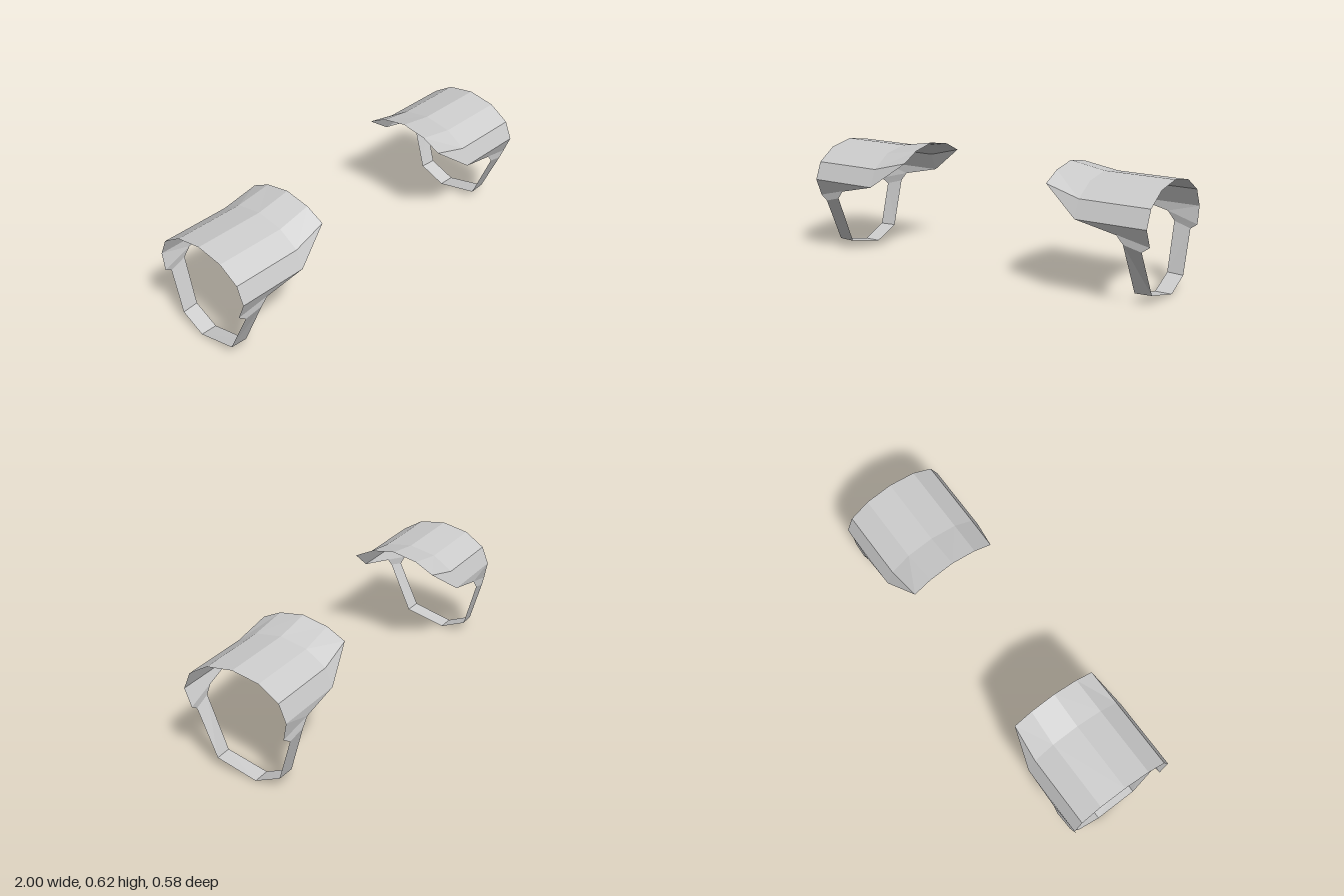
import * as THREE from 'three';

// Faceted sheet between two matching rows of [x, y, z] points; side = -1 mirrors it in x.
function sheet(name, rowA, rowB, side, material) {
  const positions = [];
  const same = (p, q) => p.every((v, i) => v === q[i]);
  const triangle = (a, b, c) => {
    if (same(a, b) || same(b, c) || same(a, c)) return;
    const corners = side > 0 ? [a, b, c] : [a, c, b];
    for (const [x, y, z] of corners) positions.push(x * side, y, z);
  };
  for (let i = 0; i < rowA.length - 1; i++) {
    triangle(rowA[i], rowA[i + 1], rowB[i + 1]);
    triangle(rowA[i], rowB[i + 1], rowB[i]);
  }
  const geometry = new THREE.BufferGeometry();
  geometry.setAttribute('position', new THREE.Float32BufferAttribute(positions, 3));
  geometry.computeVertexNormals();
  const mesh = new THREE.Mesh(geometry, material);
  mesh.name = name;
  return mesh;
}

// Arched cross-section from front to back at a given x, from half a profile of [z, y].
function arch(x, half) {
  const front = half.map(([z, y]) => [x, y, z]);
  const back = half.slice(0, -1).reverse().map(([z, y]) => [x, y, -z]);
  return [...front, ...back];
}

export function createModel() {
  const model = new THREE.Group();
  model.name = 'armGuards';
  const grey = new THREE.MeshStandardMaterial({ color: 0xcccccc, side: THREE.DoubleSide });
  grey.name = 'plain grey';

  // Arched plate and its raised flare, which narrows at the inner end
  const plateHalf = [[0.29, 0.41], [0.252, 0.502], [0.145, 0.57], [0, 0.595]];
  const flareHalf = [[0.237, 0.551], [0.237, 0.551], [0.137, 0.602], [0, 0.627]];
  const outerArch = arch(1, plateHalf);
  const innerArch = arch(0.62, plateHalf);
  const flareArch = arch(0.43, flareHalf);

  // Edges of the band that runs from the front flap, under the arm, to the back flap
  const outerEdge = [
    [1, 0.41, 0.29], [1, 0.318, 0.252], [0.96, 0.29, 0.255],
    [0.965, 0.052, 0.143], [0.965, 0.002, -0.078], [0.96, 0.063, -0.215],
    [0.96, 0.29, -0.28], [1, 0.318, -0.273], [1, 0.41, -0.29],
  ];
  const innerEdge = [
    [0.62, 0.41, 0.29], [0.83, 0.363, 0.27], [0.867, 0.316, 0.265],
    [0.875, 0.05, 0.147], [0.875, 0.002, -0.078], [0.87, 0.065, -0.22],
    [0.867, 0.316, -0.289], [0.83, 0.363, -0.289], [0.62, 0.41, -0.29],
  ];

  for (const [label, side] of [['left', 1], ['right', -1]]) {
    const guard = new THREE.Group();
    guard.name = label + 'Guard';
    guard.add(sheet('plate', outerArch, innerArch, side, grey));
    guard.add(sheet('flare', innerArch, flareArch, side, grey));
    for (const [name, from, to] of [['frontFlap', 0, 3], ['strap', 2, 7], ['backFlap', 6, 9]]) {
      guard.add(sheet(name, innerEdge.slice(from, to), outerEdge.slice(from, to), side, grey));
    }
    model.add(guard);
  }
  return model;
}
